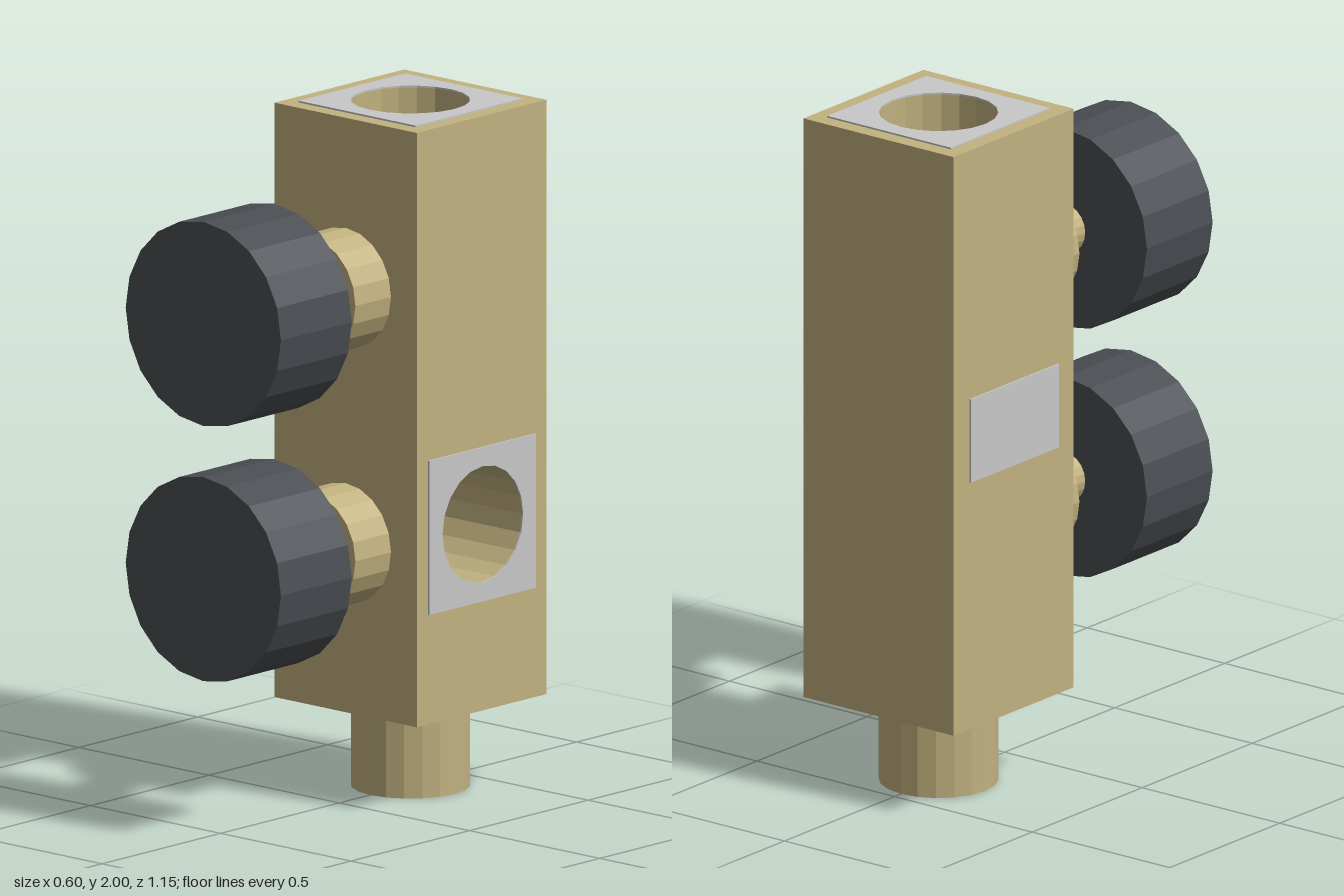
import * as THREE from 'three';

const SIDES = 20;
const PORT_R = 0.17, PORT_DEPTH = 0.4;
const PLATE = 0.005, PLATE_SIZE = 0.45;
const HALF = 0.273;               // half width and half depth of the column
const BOTTOM = 0.26, TOP = 1.995; // column height range
const AXIS_Z = -0.3;

const sand = new THREE.MeshStandardMaterial({ color: 0xc2b280, flatShading: true, side: THREE.DoubleSide });
sand.name = 'sand';
const charcoal = new THREE.MeshStandardMaterial({ color: 0x4a4e53, flatShading: true });
charcoal.name = 'charcoal';
const lightGrey = new THREE.MeshStandardMaterial({ color: 0xc8c8c8, flatShading: true });
lightGrey.name = 'lightGrey';

function addMesh(parent, name, geometry, material) {
  const mesh = new THREE.Mesh(geometry, material);
  mesh.name = name;
  parent.add(mesh);
  return mesh;
}

// Rectangle from (x0, y0) to (x1, y1), with an optional round hole at the origin
function panel(x0, y0, x1, y1, holed) {
  const shape = new THREE.Shape([[x0, y0], [x1, y0], [x1, y1], [x0, y1]].map(p => new THREE.Vector2(...p)));
  if (holed) {
    const ring = Array.from({ length: SIDES }, (_, i) => {
      const a = -i / SIDES * Math.PI * 2;
      return new THREE.Vector2(PORT_R * Math.cos(a), PORT_R * Math.sin(a));
    });
    shape.holes.push(new THREE.Path(ring));
  }
  return shape;
}

// Column face with a bored port and its plate, facing local +z, hole at the local origin
function portFace(name, x0, y0, x1, y1) {
  const g = new THREE.Group();
  g.name = name;
  addMesh(g, 'columnFace', new THREE.ShapeGeometry(panel(x0, y0, x1, y1, true)), sand);
  const h = PLATE_SIZE / 2;
  addMesh(g, 'portPlate', new THREE.ExtrudeGeometry(panel(-h, -h, h, h, true),
    { depth: PLATE, bevelEnabled: false }), lightGrey);
  const bore = new THREE.CylinderGeometry(PORT_R, PORT_R, PORT_DEPTH, SIDES, 1, true).rotateX(Math.PI / 2);
  addMesh(g, 'portWall', bore, sand).position.z = -PORT_DEPTH / 2;
  addMesh(g, 'portFloor', new THREE.CircleGeometry(PORT_R, SIDES), sand).position.z = -PORT_DEPTH;
  return g;
}

// Cylinder lying along z between z0 and z1
function rod(parent, name, r, z0, z1, material) {
  const geo = new THREE.CylinderGeometry(r, r, z1 - z0, SIDES).rotateX(Math.PI / 2);
  addMesh(parent, name, geo, material).position.z = (z0 + z1) / 2;
}

export function createModel() {
  const model = new THREE.Group();
  model.name = 'twinKnobValve';

  // Column: plain faces
  const height = TOP - BOTTOM, midY = (TOP + BOTTOM) / 2;
  const plain = [
    ['columnFront', 0, 0, HALF],
    ['columnBack', Math.PI, 0, -HALF],
    ['columnRight', -Math.PI / 2, -HALF, 0],
  ];
  for (const [name, turn, x, z] of plain) {
    const face = addMesh(model, name, new THREE.PlaneGeometry(HALF * 2, height), sand);
    face.rotation.y = turn;
    face.position.set(x, midY, AXIS_Z + z);
  }
  const base = addMesh(model, 'columnBottom', new THREE.PlaneGeometry(HALF * 2, HALF * 2), sand);
  base.rotation.x = Math.PI / 2;
  base.position.set(0, BOTTOM, AXIS_Z);

  // Bored ports on top and on the left side
  const topPort = portFace('topPort', -HALF, -HALF, HALF, HALF);
  topPort.rotation.x = -Math.PI / 2;
  topPort.position.set(0, TOP, AXIS_Z);
  const sideY = 0.805;
  const sidePort = portFace('sidePort', -HALF, BOTTOM - sideY, HALF, TOP - sideY);
  sidePort.rotation.y = Math.PI / 2;
  sidePort.position.set(HALF, sideY, AXIS_Z);
  model.add(topPort, sidePort);

  // Small blank plate on the right side
  addMesh(model, 'labelPlate', new THREE.BoxGeometry(PLATE, 0.25, 0.4), lightGrey)
    .position.set(-HALF - PLATE / 2, 1.125, AXIS_Z);

  // Outlet pipe under the column
  addMesh(model, 'outletPipe', new THREE.CylinderGeometry(PORT_R, PORT_R, BOTTOM, SIDES), sand)
    .position.set(0, BOTTOM / 2, AXIS_Z);

  // Two knobs with collar and stem
  for (const [name, y] of [['upperKnob', 1.5], ['lowerKnob', 0.755]]) {
    const knob = new THREE.Group();
    knob.name = name;
    knob.position.y = y;
    rod(knob, 'collar', 0.174, AXIS_Z + HALF, 0.123, sand);
    rod(knob, 'stem', 0.074, 0.123, 0.274, sand);
    rod(knob, 'handwheel', 0.298, 0.274, 0.573, charcoal);
    model.add(knob);
  }
  return model;
}
